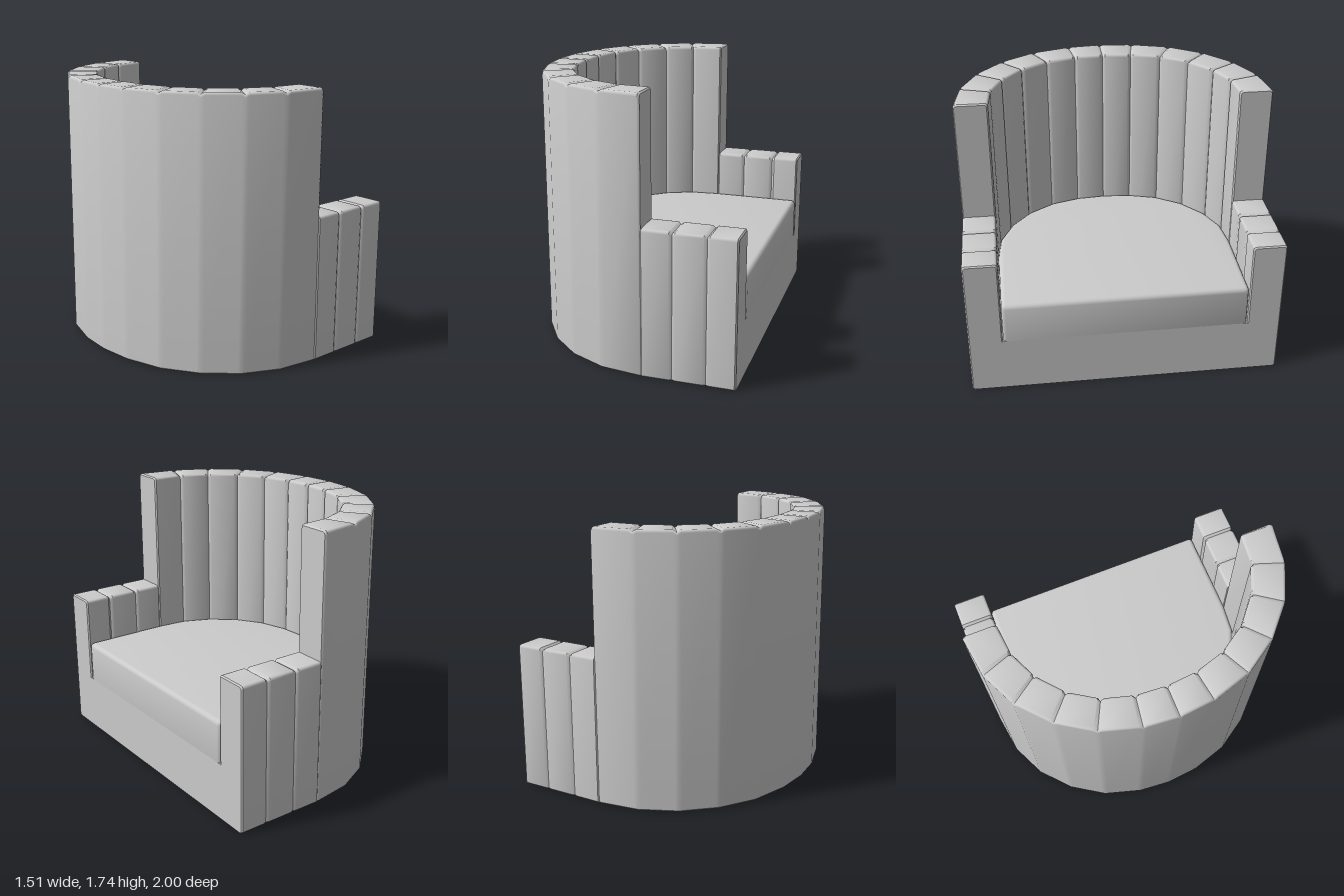
import * as THREE from 'three';
import { toCreasedNormals } from 'three/addons/utils/BufferGeometryUtils.js';

const FRONT = 0.755, BACK_H = 1.735, ARM_H = 0.945, BASE_H = 0.37, SEAT_H = 0.64;
const material = new THREE.MeshStandardMaterial({ color: 0xcccccc });

// Joints of the padded shell, [outer x, outer z, inner x, inner z], front to back on the +z side
const armJoints = [[FRONT, 1, FRONT, 0.785], [0.57, 1, 0.57, 0.785], [0.36, 1, 0.36, 0.785], [0.165, 1, 0.165, 0.785]];
const halfBack = [
  [0.17, 1, 0.17, 0.785], [-0.1, 0.962, -0.03, 0.765], [-0.33, 0.855, -0.21, 0.685],
  [-0.52, 0.685, -0.37, 0.55], [-0.66, 0.47, -0.48, 0.38], [-0.735, 0.22, -0.535, 0.19],
];
const flip = (joints) => joints.map(([a, b, c, d]) => [a, -b, c, -d]).reverse();
const backJoints = [...halfBack, [-0.755, 0, -0.55, 0], ...flip(halfBack)];

const mix = (a, b, t) => a.map((v, i) => v + (b[i] - v) * t);
const mesh = (name, geometry, crease) => {
  const m = new THREE.Mesh(toCreasedNormals(geometry, crease), material);
  m.name = name;
  return m;
};

// Rounded cross-section of the wall: [distance from outer face, height]
function section(T, H, go, g) {
  const r = 0.018, pts = [[go + 0.01, 0], [go, 0.01]];
  for (let i = 0; i <= 3; i++) {
    const a = (i / 3) * Math.PI / 2;
    pts.push([go + r - r * Math.cos(a), H - g - r + r * Math.sin(a)]);
  }
  for (let i = 0; i <= 3; i++) {
    const a = (i / 3) * Math.PI / 2;
    pts.push([T - g - r + r * Math.sin(a), H - g - r + r * Math.cos(a)]);
  }
  pts.push([T - g, 0]);
  return pts;
}

// Sweeps the section through the joints, pinching it into a shallow groove at each one
function paddedWall(joints, H, outerGroove) {
  const stations = [], n = joints.length - 1, groove = 0.012;
  joints.forEach((j, k) => {
    const end = k === 0 || k === n;
    const w = end ? 0.045 : 0.09;
    if (k > 0) stations.push([mix(j, joints[k - 1], w), 0, 0]);
    stations.push([j, end ? 0.008 : outerGroove, end ? 0.008 : groove]);
    if (k < n) stations.push([mix(j, joints[k + 1], w), 0, 0]);
  });
  const pos = [], index = [];
  let R = 0;
  for (const [[ox, oz, ix, iz], go, g] of stations) {
    const T = Math.hypot(ix - ox, iz - oz), ring = section(T, H, go, g);
    R = ring.length;
    for (const [d, y] of ring) pos.push(ox + (ix - ox) * d / T, y, oz + (iz - oz) * d / T);
  }
  for (let s = 0; s < stations.length - 1; s++) {
    for (let i = 0; i < R; i++) {
      const a = s * R + i, b = s * R + (i + 1) % R;
      index.push(a, b, a + R, b, b + R, a + R);
    }
  }
  const last = (stations.length - 1) * R;
  for (let i = 1; i < R - 1; i++) index.push(0, i + 1, i, last, last + i, last + i + 1);
  const geo = new THREE.BufferGeometry();
  geo.setAttribute('position', new THREE.Float32BufferAttribute(pos, 3));
  geo.setIndex(index);
  return geo;
}

// D-shaped slab extruded upwards
function slab(points, y0, y1, bevel) {
  const shape = new THREE.Shape(points.map(([x, z]) => new THREE.Vector2(x, z)));
  const geo = new THREE.ExtrudeGeometry(shape, {
    depth: y1 - y0 - 2 * bevel, bevelEnabled: bevel > 0, bevelThickness: bevel,
    bevelSize: bevel, bevelOffset: -bevel, bevelSegments: 4,
  });
  geo.rotateX(-Math.PI / 2);
  geo.translate(0, y0 + bevel, 0);
  return geo;
}

export function createModel() {
  const group = new THREE.Group();
  group.name = 'tubArmchair';

  // Curved back and the two lower arms
  group.add(mesh('backrest', paddedWall(backJoints, BACK_H, 0), 0.62));
  group.add(mesh('leftArm', paddedWall(armJoints, ARM_H, 0.01), 0.62));
  group.add(mesh('rightArm', paddedWall(flip(armJoints), ARM_H, 0.01), 0.62));

  // Solid base, its edge buried halfway inside the shell
  const outline = [armJoints[0], ...backJoints, ...flip(armJoints.slice(0, 1))];
  const basePoints = outline.map(([a, b, c, d]) => [(a + c) / 2, (b + d) / 2]);
  group.add(mesh('base', slab(basePoints, 0, BASE_H, 0), 0.5));

  // Seat cushion with soft edges and rounded front corners
  const c = 0.025, zs = 0.782;
  const cushion = [
    [FRONT - c, zs], ...backJoints.map((j) => [j[2], j[3]]),
    [FRONT - c, -zs], [FRONT - c * 0.3, -zs + c * 0.3], [FRONT, -zs + c],
    [FRONT, zs - c], [FRONT - c * 0.3, zs - c * 0.3],
  ];
  group.add(mesh('seatCushion', slab(cushion, BASE_H - 0.035, SEAT_H, 0.03), 0.85));

  return group;
}
